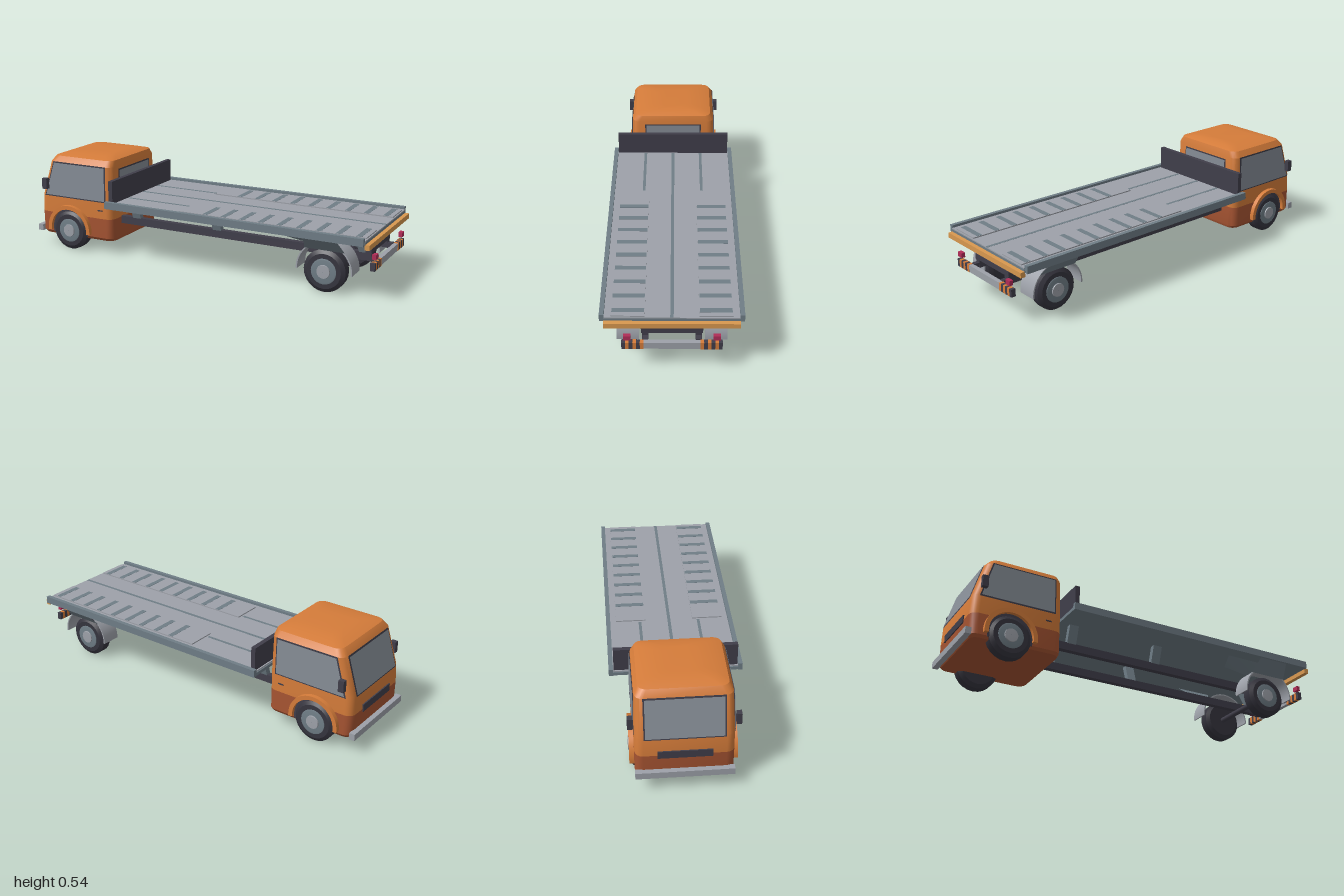
import * as THREE from 'three';
import { toCreasedNormals } from 'three/addons/utils/BufferGeometryUtils.js';

const paint = (name, color, side = THREE.FrontSide) => {
  const m = new THREE.MeshStandardMaterial({ color, side });
  m.name = name;
  return m;
};

export function createModel() {
  const orange = paint('orange', 0xd57c3a), rust = paint('rust', 0xa65432), amber = paint('amber', 0xd8984f);
  const grey = paint('lightGrey', 0x9da1a9, THREE.DoubleSide), steel = paint('steelGrey', 0x6f7d86, THREE.DoubleSide);
  const dark = paint('charcoal', 0x403e4a, THREE.DoubleSide), glass = paint('glass', 0x858c95, THREE.DoubleSide);
  const tyre = paint('tyre', 0x35343e), red = paint('red', 0xb02c56);
  const truck = new THREE.Group();
  truck.name = 'flatbedTruck';

  const add = (name, geo, mat, parent = truck) => {
    const m = new THREE.Mesh(geo, mat);
    m.name = name;
    parent.add(m);
    return m;
  };
  // box given by its limits on each axis
  const box = (name, mat, x0, x1, y0, y1, z0, z1, parent) => {
    const m = add(name, new THREE.BoxGeometry(x1 - x0, y1 - y0, z1 - z0), mat, parent);
    m.position.set((x0 + x1) / 2, (y0 + y1) / 2, (z0 + z1) / 2);
    return m;
  };
  const pair = (name, mat, x0, x1, y0, y1, z0, z1) => {
    box(name + 'Left', mat, x0, x1, y0, y1, z0, z1);
    box(name + 'Right', mat, x0, x1, y0, y1, -z1, -z0);
  };
  const quad = (name, mat, pts, parent) => {
    const g = new THREE.BufferGeometry();
    g.setAttribute('position', new THREE.Float32BufferAttribute(pts.flat(), 3));
    g.setIndex([0, 1, 2, 0, 2, 3]);
    g.computeVertexNormals();
    return add(name, g, mat, parent);
  };
  // outline in x-y, extruded between two z values
  const slab = (name, mat, shape, z0, z1, parent) => {
    const g = new THREE.ExtrudeGeometry(shape, { depth: z1 - z0, bevelEnabled: false, curveSegments: 16 });
    return add(name, toCreasedNormals(g.translate(0, 0, z0), 0.5), mat, parent);
  };
  const arch = (x, y, rIn, rOut, a0, a1) => {
    const s = new THREE.Shape();
    s.absarc(x, y, rOut, a0, a1, false);
    s.absarc(x, y, rIn, a1, a0, true);
    return s;
  };

  // cab: rounded plan sections [y, frontX, backX, halfWidth]
  const cab = new THREE.Group();
  cab.name = 'cab';
  truck.add(cab);
  const levels = [[0.075, -0.965, -0.505, 0.225], [0.09, -0.974, -0.5, 0.235], [0.2, -0.976, -0.5, 0.235],
    [0.3, -0.97, -0.5, 0.235], [0.49, -0.912, -0.503, 0.23], [0.523, -0.885, -0.51, 0.212],
    [0.537, -0.84, -0.545, 0.16], [0.541, -0.79, -0.59, 0.08]];
  const section = ([y, x0, x1, hz]) => {
    const pts = [], r = 0.04, n = 4;
    const corners = [[x1 - r, hz - r], [x0 + r, hz - r], [x0 + r, r - hz], [x1 - r, r - hz]];
    corners.forEach(([cx, cz], c) => {
      for (let i = 0; i <= n; i++) {
        const a = (c + i / n) * Math.PI / 2;
        pts.push([cx + r * Math.cos(a), y, cz + r * Math.sin(a)]);
      }
    });
    return pts;
  };
  const loft = (name, mat, rows, capBottom, capTop) => {
    const rings = rows.map(section), n = rings[0].length, idx = [];
    for (let k = 0; k < rings.length - 1; k++) {
      for (let i = 0; i < n; i++) {
        const a = k * n + i, b = k * n + (i + 1) % n;
        idx.push(a, a + n, b, b, a + n, b + n);
      }
    }
    const top = (rings.length - 1) * n;
    for (let i = 1; i < n - 1; i++) {
      if (capBottom) idx.push(0, i, i + 1);
      if (capTop) idx.push(top, top + i + 1, top + i);
    }
    const g = new THREE.BufferGeometry();
    g.setAttribute('position', new THREE.Float32BufferAttribute(rings.flat(2), 3));
    g.setIndex(idx);
    add(name, toCreasedNormals(g, 0.45), mat, cab);
  };
  loft('lowerCab', rust, levels.slice(0, 3), true, false);
  loft('upperCab', orange, levels.slice(2), false, true);

  // windows: dark surround with a glass pane just in front of it
  for (const [part, mat, grow, off] of [['Frame', dark, 0.007, 0.002], ['Glass', glass, 0, 0.005]]) {
    const lo = 0.3 - grow, hi = 0.485 + grow;
    const frontX = y => -0.97 + (y - 0.3) * 0.305;
    for (const s of [1, -1]) {
      const z0 = s * (0.235 + off), z1 = s * (0.23 + off);
      quad('sideWindow' + part, mat, [[frontX(lo) + 0.038 - grow, lo, z0], [-0.545 + grow, lo, z0],
        [-0.545 + grow, hi, z1], [frontX(hi) + 0.038 - grow, hi, z1]], cab);
    }
    const w = 0.185 + grow;
    quad('windscreen' + part, mat, [[frontX(lo) - off, lo, -w], [frontX(lo) - off, lo, w],
      [frontX(hi) - off, hi, w], [frontX(hi) - off, hi, -w]], cab);
    const b = 0.152 + grow, top = 0.467 + grow;
    quad('rearWindow' + part, mat, [[-0.5 + off, lo, b], [-0.5 + off, lo, -b],
      [-0.502 + off, top, -b], [-0.502 + off, top, b]], cab);
  }
  box('grille', dark, -0.981, -0.974, 0.185, 0.225, -0.13, 0.13, cab);
  box('frontBumper', grey, -1, -0.97, 0.08, 0.115, -0.235, 0.235, cab);
  for (const s of [1, -1]) {
    const lim = (a, b) => s > 0 ? [a, b] : [-b, -a];
    slab('wheelArch', orange, arch(-0.775, 0.115, 0.116, 0.138, -0.1, Math.PI + 0.1), ...lim(0.225, 0.258), cab);
    slab('wheelWell', dark, arch(-0.775, 0.115, 0.05, 0.118, -0.25, Math.PI + 0.25), ...lim(0.23, 0.238), cab);
    box('mirror', dark, -0.94, -0.91, 0.335, 0.395, ...lim(0.24, 0.265), cab);
    box('doorHandle', dark, -0.59, -0.56, 0.243, 0.249, ...lim(0.233, 0.239), cab);
  }

  // wheels
  const lathe = pts => toCreasedNormals(
    new THREE.LatheGeometry(pts.map(p => new THREE.Vector2(...p)), 24).rotateX(Math.PI / 2), 0.45);
  const tyreGeo = lathe([[0.001, -0.037], [0.09, -0.037], [0.11, -0.024], [0.11, 0.024], [0.09, 0.037], [0.001, 0.037]]);
  const rimGeo = lathe([[0.066, 0.03], [0.066, 0.04], [0.058, 0.042], [0.001, 0.04]]);
  const hubGeo = lathe([[0.036, 0.038], [0.034, 0.047], [0.001, 0.048]]);
  for (const [x, end] of [[-0.775, 'front'], [0.74, 'rear']]) {
    for (const s of [1, -1]) {
      const wheel = new THREE.Group();
      wheel.name = end + 'Wheel';
      add('tyre', tyreGeo, tyre, wheel);
      add('rim', rimGeo, steel, wheel);
      add('hub', hubGeo, grey, wheel);
      wheel.position.set(x, 0.111, s * 0.212);
      if (s < 0) wheel.rotation.y = Math.PI;
      truck.add(wheel);
    }
  }

  // chassis
  pair('chassisRail', dark, -0.52, 0.945, 0.163, 0.205, 0.11, 0.14);
  box('rearCrossmember', dark, 0.915, 0.945, 0.203, 0.23, -0.145, 0.145);
  const axle = add('rearAxle', new THREE.CylinderGeometry(0.015, 0.015, 0.36, 8).rotateX(Math.PI / 2), dark);
  axle.position.set(0.74, 0.111, 0);

  // deck supports lean outwards from the rails
  for (const [x, lean] of [[-0.4, 0], [0.095, 0], [0.905, -0.025]]) {
    for (const s of [1, -1]) {
      const g = new THREE.BoxGeometry(0.05, 0.095, 0.03);
      const p = g.attributes.position;
      for (let i = 0; i < p.count; i++) {
        if (p.getY(i) > 0) p.setXYZ(i, p.getX(i) + lean, p.getY(i), p.getZ(i) + s * 0.03);
      }
      g.computeVertexNormals();
      add('deckSupport', g, steel).position.set(x, 0.25, s * 0.125);
    }
  }

  // load deck
  box('deckFrame', steel, -0.48, 0.968, 0.295, 0.312, -0.316, 0.316);
  box('deckFloor', grey, -0.475, 0.968, 0.312, 0.318, -0.313, 0.313);
  pair('sideRail', steel, -0.48, 0.965, 0.293, 0.331, 0.313, 0.335);
  box('headboard', dark, -0.468, -0.444, 0.312, 0.44, -0.31, 0.31);
  box('centreGroove', steel, -0.44, 0.968, 0.316, 0.3186, -0.008, 0.008);
  pair('frontGroove', steel, -0.44, -0.06, 0.316, 0.3186, 0.148, 0.163);
  pair('rampPlate', grey, -0.05, 0.962, 0.316, 0.324, 0.125, 0.282);
  for (let i = 0; i < 9; i++) {
    const x = 0.098 + i * 0.1032;
    pair('rampSlot', steel, x - 0.014, x + 0.014, 0.32, 0.3248, 0.128, 0.279);
  }
  box('tailBar', amber, 0.965, 0.99, 0.272, 0.299, -0.315, 0.315);

  // rear mudguards with folded brace plates under the deck
  for (const s of [1, -1]) {
    const lim = (a, b) => s > 0 ? [a, b] : [-b, -a];
    slab('mudguard', grey, arch(0.745, 0.12, 0.14, 0.147, -0.05, Math.PI + 0.05), ...lim(0.157, 0.263));
    quad('mudguardFlare', steel, [[0.64, 0.225, s * 0.263], [0.85, 0.225, s * 0.263],
      [0.83, 0.295, s * 0.325], [0.66, 0.295, s * 0.325]]);
    quad('mudguardBrace', steel, [[0.49, 0.293, s * 0.26], [0.5, 0.25, s * 0.2],
      [0.66, 0.228, s * 0.2], [0.7, 0.293, s * 0.26]]);
  }

  // rear bumper with striped ends and lamps
  box('rearBumper', grey, 0.97, 0.993, 0.148, 0.185, -0.132, 0.132);
  for (let i = 0; i < 6; i++) {
    const z = 0.132 + i * 0.0172;
    pair('bumperStripe', i % 2 ? dark : orange, 0.97, 0.994, 0.146, 0.186, z, z + 0.0172);
  }
  pair('bumperBracket', dark, 0.94, 0.972, 0.16, 0.19, 0.112, 0.138);
  pair('tailLamp', red, 0.975, 0.995, 0.202, 0.227, 0.192, 0.226);
  return truck;
}
